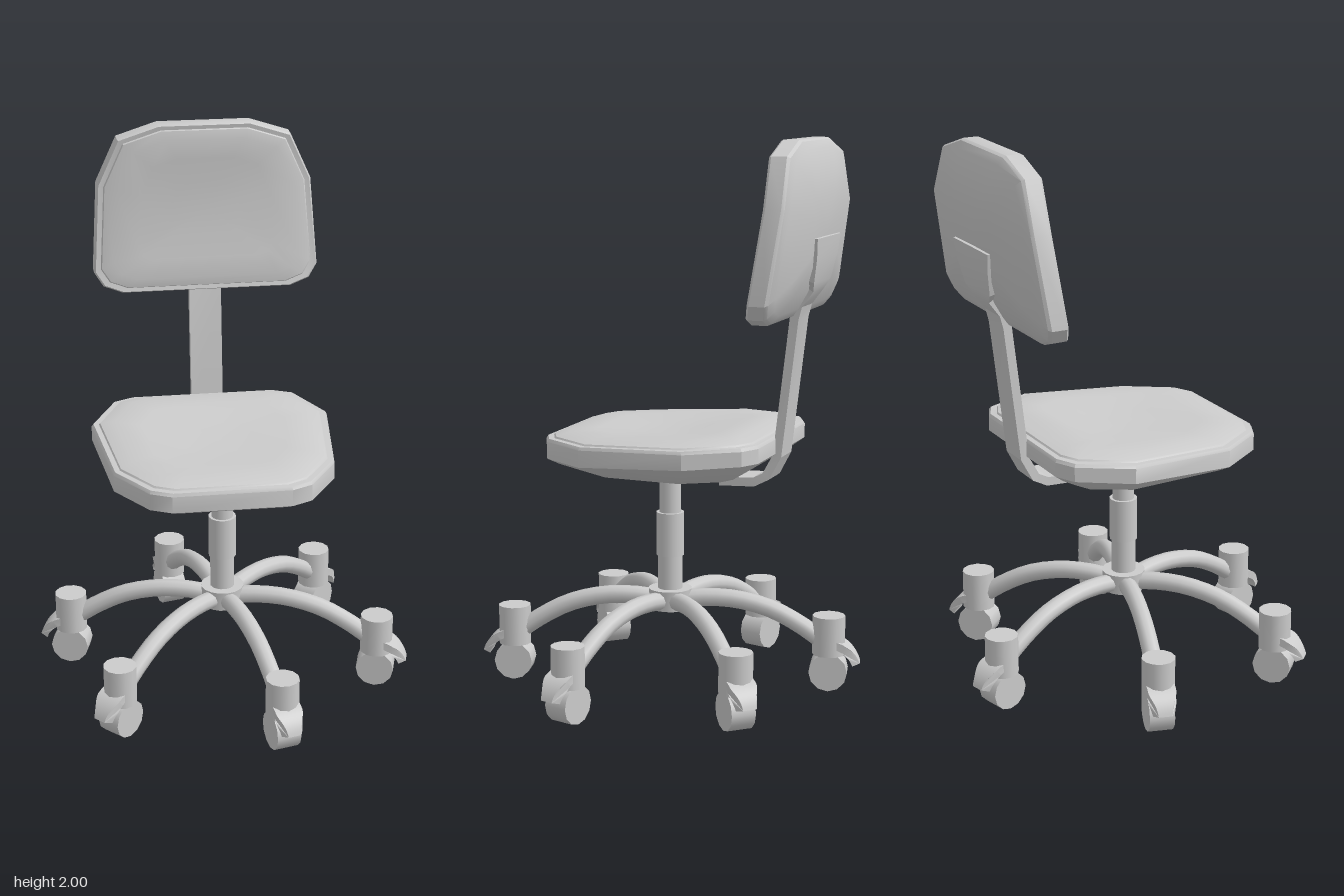
import * as THREE from 'three';
import { toCreasedNormals } from 'three/addons/utils/BufferGeometryUtils.js';

const material = new THREE.MeshStandardMaterial({ color: 0xcccccc });

function mesh(name, geometry, x = 0, y = 0, z = 0) {
  const m = new THREE.Mesh(geometry, material);
  m.name = name;
  m.position.set(x, y, z);
  return m;
}

// Skin a list of equal-length rings of [x, y, z] and close both ends.
function loft(rings, crease = 0.55) {
  const n = rings[0].length;
  const pos = rings.flat(2);
  const index = [];
  for (let r = 0; r < rings.length - 1; r++) {
    for (let i = 0; i < n; i++) {
      const a = r * n + i, b = r * n + (i + 1) % n;
      index.push(a, b, b + n, a, b + n, a + n);
    }
  }
  const cap = (r, flip) => {
    const c = pos.length / 3;
    for (let k = 0; k < 3; k++) pos.push(rings[r].reduce((s, p) => s + p[k], 0) / n);
    for (let i = 0; i < n; i++) {
      const a = r * n + i, b = r * n + (i + 1) % n;
      index.push(c, flip ? b : a, flip ? a : b);
    }
  };
  cap(0, true);
  cap(rings.length - 1, false);
  const g = new THREE.BufferGeometry();
  g.setAttribute('position', new THREE.Float32BufferAttribute(pos, 3));
  g.setIndex(index);
  return toCreasedNormals(g, crease);
}

// Mirror the right half of an outline, given from bottom to top, into a closed loop.
const mirrored = (half) => [...half, ...half.slice().reverse().map(([u, v]) => [-u, v])];

// A pad: [scale, height, rear rise] levels of an outline, placed by a mapping.
const pad = (outline, levels, place) =>
  loft(levels.map(([s, w, rise]) => outline.map(([u, v]) => place(u * s, v * s, w, rise))));

function createSeat() {
  const outline = mirrored([
    [0.21, -0.404], [0.285, -0.368], [0.395, -0.2],
    [0.441, 0.2], [0.345, 0.385], [0.27, 0.42],
  ]);
  const levels = [
    [0.45, 0.8, 0], [0.72, 0.812, 0.008], [0.9, 0.842, 0.025], [1, 0.864, 0.035],
    [1, 0.925, 0.026], [0.985, 0.936, 0.026], [0.94, 0.937, 0.026], [0.93, 0.943, 0.026],
    [0.82, 0.958, 0.026], [0.6, 0.96, 0.026], [0.3, 0.952, 0.02],
  ];
  // the rear of the seat sweeps up
  return mesh('seat', pad(outline, levels, (u, v, w, rise) =>
    [u - 0.018, w + rise * THREE.MathUtils.smoothstep(v, -0.1, 0.35), -v]));
}

function createBackrest() {
  const outline = mirrored([
    [0.315, -0.305], [0.385, -0.28], [0.418, -0.23], [0.397, 0.09],
    [0.32, 0.26], [0.17, 0.31],
  ]);
  const levels = [
    [0.4, -0.08], [0.7, -0.068], [0.9, -0.05], [0.98, -0.04], [1, -0.03], [1, 0.025],
    [0.985, 0.034], [0.94, 0.034], [0.93, 0.04], [0.83, 0.053], [0.6, 0.058], [0.3, 0.058],
  ];
  // curved to lean back, with the lower edge furthest forward
  return mesh('backrest', pad(outline, levels,
    (u, v, w) => [u, 1.69 + v, -0.51 + 0.38 * (v - 0.13) ** 2 + w]));
}

// Flat bar under the seat that rises and widens into the backrest plate: [z, y, half width]
function createBackBar() {
  const path = [
    [-0.21, 0.787, 0.065], [-0.34, 0.792, 0.065], [-0.385, 0.815, 0.063], [-0.425, 0.89, 0.06],
    [-0.483, 1.38, 0.06], [-0.497, 1.43, 0.06], [-0.538, 1.485, 0.062], [-0.55, 1.515, 0.1],
    [-0.567, 1.6, 0.125], [-0.573, 1.668, 0.14],
  ];
  const thick = 0.016;
  const rings = path.map(([z, y, w], i) => {
    const a = path[Math.max(i - 1, 0)], b = path[Math.min(i + 1, path.length - 1)];
    const len = Math.hypot(b[0] - a[0], b[1] - a[1]);
    const ny = thick * (b[0] - a[0]) / len, nz = -thick * (b[1] - a[1]) / len;
    return [[w, 1], [-w, 1], [-w, -1], [w, -1]].map(([x, s]) => [x, y + s * ny, z + s * nz]);
  });
  return mesh('backBar', loft(rings, 0.3));
}

function cylinder(name, rTop, rBottom, y0, y1, sides = 16) {
  return mesh(name, new THREE.CylinderGeometry(rTop, rBottom, y1 - y0, sides), 0, (y0 + y1) / 2, 0);
}

// Arched guard over the outer side of a wheel, narrowing to a rounded tip
function createHood() {
  const arc = new THREE.Shape();
  arc.absarc(0, 0, 0.12, 0.28, 1.75, false);
  arc.absarc(0, 0, 0.092, 1.75, 0.28, true);
  arc.closePath();
  const hood = new THREE.ExtrudeGeometry(arc, { depth: 0.1, bevelEnabled: false, curveSegments: 8 });
  hood.translate(0, 0, -0.05);
  const p = hood.attributes.position;
  for (let i = 0; i < p.count; i++) {
    p.setZ(i, p.getZ(i) * (1 - 0.55 * THREE.MathUtils.smoothstep(p.getX(i), 0.06, 0.125)));
  }
  return toCreasedNormals(hood, 0.6);
}

// Curved leg along +x with a hooded caster at its end
function createLeg() {
  const leg = new THREE.Group();
  leg.name = 'leg';
  const reach = 0.583;
  const curve = new THREE.CatmullRomCurve3([
    [0.03, 0.315], [0.12, 0.327], [0.24, 0.324], [0.37, 0.292], [0.48, 0.235], [0.57, 0.172],
  ].map(([x, y]) => new THREE.Vector3(x, y, 0)));
  leg.add(mesh('legTube', new THREE.TubeGeometry(curve, 12, 0.033, 10)));

  const housing = cylinder('casterHousing', 0.06, 0.06, 0.13, 0.275, 12);
  housing.position.x = reach;
  leg.add(housing);

  const wheel = new THREE.CylinderGeometry(0.07, 0.07, 0.09, 12).rotateX(Math.PI / 2);
  leg.add(mesh('casterWheel', wheel, reach, 0.07, 0));
  leg.add(mesh('casterHood', createHood(), reach, 0.07, 0));
  return leg;
}

export function createModel() {
  const chair = new THREE.Group();
  chair.name = 'swivelChair';

  // Upper part, swivelled on the post
  const upper = new THREE.Group();
  upper.name = 'swivelTop';
  upper.rotation.y = -Math.PI / 6;
  upper.add(createSeat(), createBackrest(), createBackBar());
  chair.add(upper);

  // Telescopic post and hub
  chair.add(
    cylinder('seatMount', 0.072, 0.072, 0.778, 0.81),
    cylinder('pistonRod', 0.04, 0.04, 0.63, 0.79),
    cylinder('pistonSleeve', 0.051, 0.051, 0.485, 0.645),
    cylinder('lowerSleeve', 0.045, 0.045, 0.34, 0.49),
    cylinder('hub', 0.08, 0.075, 0.285, 0.36),
  );

  // Six legs
  for (let i = 0; i < 6; i++) {
    const leg = createLeg();
    leg.rotation.y = -THREE.MathUtils.degToRad(46.5 + 60 * i);
    chair.add(leg);
  }
  return chair;
}
